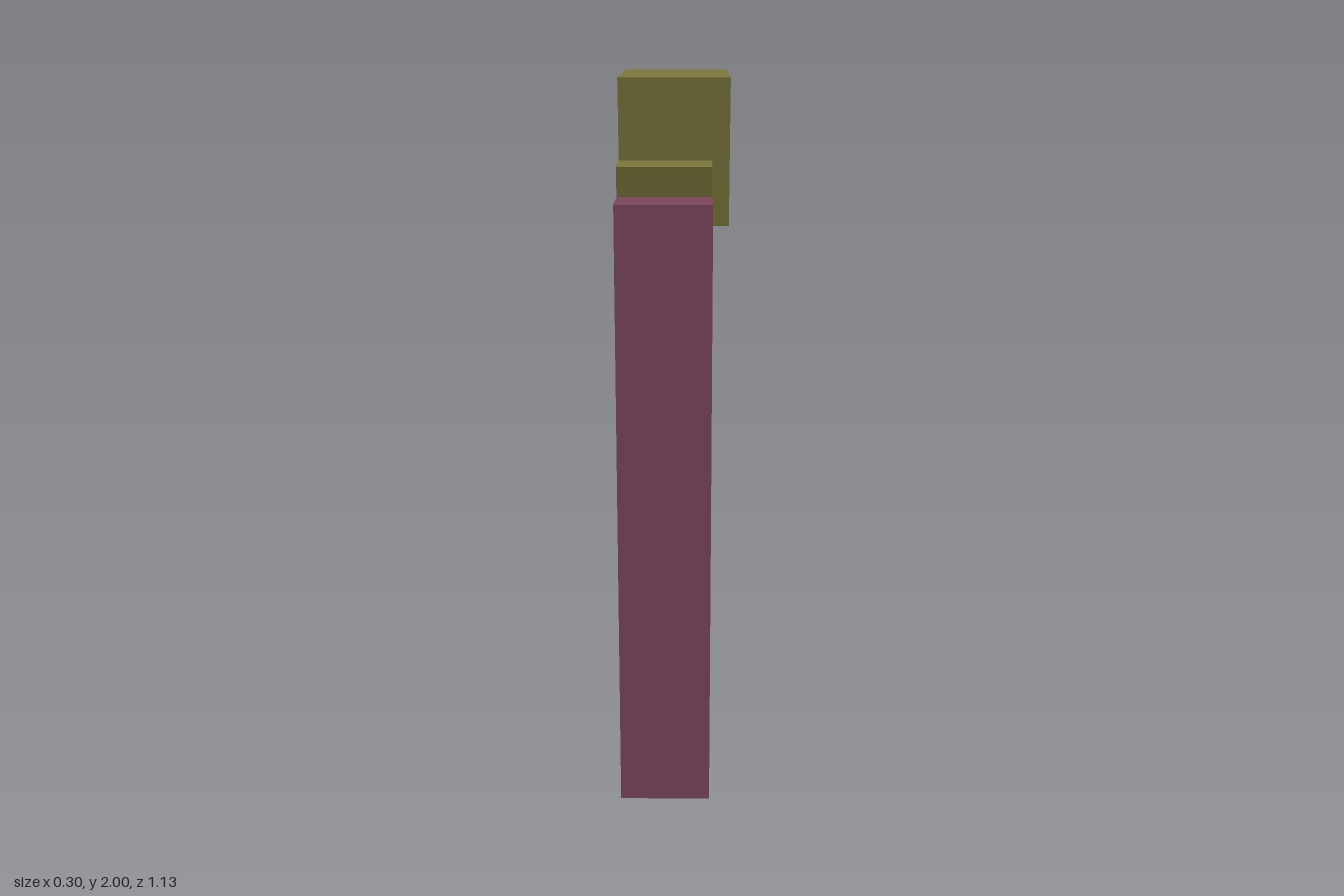
import * as THREE from 'three';

const mat = (color) => new THREE.MeshStandardMaterial({ color, flatShading: true });

// Symmetric trapezoid across z, from height y0 (half width w0) to y1 (half width w1)
function trace(path, [y0, w0, y1, w1]) {
  path.moveTo(-w0, y0);
  path.lineTo(w0, y0);
  path.lineTo(w1, y1);
  path.lineTo(-w1, y1);
  path.closePath();
  return path;
}

// Trapezoid slab reaching from x0 to x1, with an optional trapezoid hole
function slab(name, material, outline, x0, x1, hole) {
  const shape = trace(new THREE.Shape(), outline);
  if (hole) shape.holes.push(trace(new THREE.Path(), hole));
  const geo = new THREE.ExtrudeGeometry(shape, { depth: x1 - x0, bevelEnabled: false });
  geo.rotateY(Math.PI / 2).translate(x0, 0, 0);
  const mesh = new THREE.Mesh(geo, material);
  mesh.name = name;
  return mesh;
}

export function createModel() {
  const group = new THREE.Group();
  group.name = 'taperedWindow';
  const frameMat = mat(0x7b445b);
  const paneMat = mat(0x32272b);
  const barMat = mat(0xccc2c5);
  const stoneMat = mat(0x7c763b);

  const outer = [0, 0.437, 1.7, 0.565];
  const opening = [0.075, 0.346, 1.6, 0.434];
  const openingHalf = (y) => 0.346 + (0.088 * (y - 0.075)) / 1.525;

  // Surround: solid back and a tapered ring in front of it
  group.add(slab('frameBack', frameMat, outer, -0.15, -0.02));
  group.add(slab('frameRing', frameMat, outer, -0.02, 0.1, opening));

  // Dark glass, set into the opening
  group.add(slab('pane', paneMat, opening, -0.02, 0));

  // Glazing bars: one upright and three crossbars, cut to the slope of the jambs
  group.add(slab('mullion', barMat, [0.075, 0.047, 1.6, 0.059], 0, 0.08));
  for (let i = 0; i < 3; i++) {
    const y0 = 0.358 + i * 0.413, y1 = y0 + 0.137;
    group.add(slab('crossbar', barMat, [y0, openingHalf(y0), y1, openingHalf(y1)], 0, 0.08));
  }

  // Stepped crown with a keystone that overhangs the face
  group.add(slab('crownStep', stoneMat, [1.7, 0.385, 1.78, 0.411], -0.15, 0.1));
  group.add(slab('keystone', stoneMat, [1.7, 0.223, 2, 0.284], -0.15, 0.148));
  group.add(slab('keystoneTip', stoneMat, [1.6, 0.202, 1.7, 0.223], 0.09, 0.148));

  return group;
}
